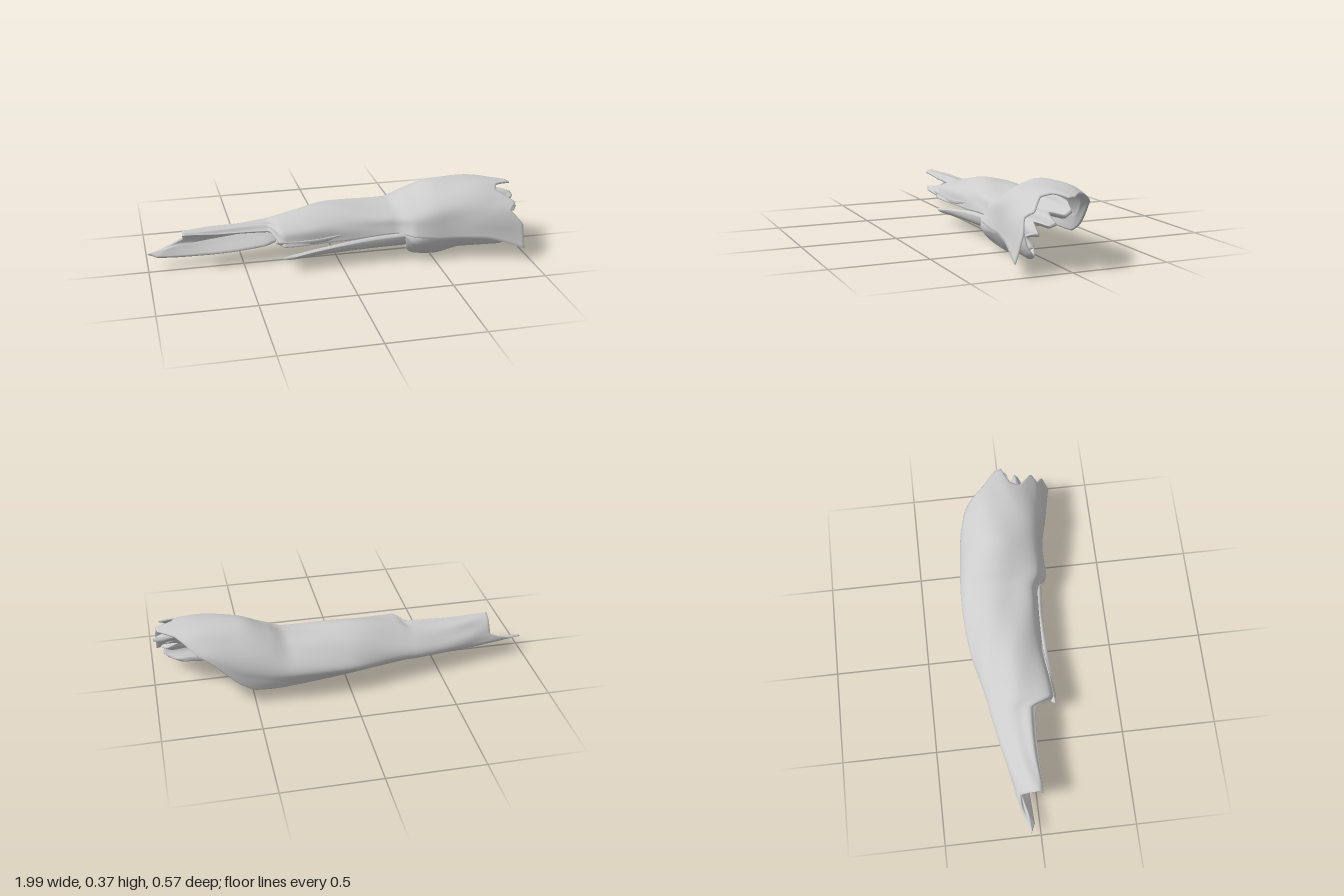
import * as THREE from 'three';

// Piecewise-linear table lookup over [t, value] pairs
function lookup(table, t) {
  for (let k = 1; k < table.length; k++) {
    const [t0, v0] = table[k - 1], [t1, v1] = table[k];
    if (t <= t1) return v0 + (v1 - v0) * (t - t0) / (t1 - t0);
  }
  return table[table.length - 1][1];
}

// Monotone cubic through one column of the sections, so steps do not overshoot
function column(sections, c, x) {
  const last = sections.length - 1;
  let k = 0;
  while (k < last - 1 && x > sections[k + 1][0]) k++;
  const slope = i => (sections[i + 1][c] - sections[i][c]) / (sections[i + 1][0] - sections[i][0]);
  const tangent = i => {
    if (i === 0) return slope(0);
    if (i === last) return slope(last - 1);
    const a = slope(i - 1), b = slope(i);
    return a * b <= 0 ? 0 : 2 * a * b / (a + b);
  };
  const h = sections[k + 1][0] - sections[k][0];
  const t = THREE.MathUtils.clamp((x - sections[k][0]) / h, 0, 1);
  const t2 = t * t, t3 = t2 * t;
  return (2 * t3 - 3 * t2 + 1) * sections[k][c] + (t3 - 2 * t2 + t) * h * tangent(k)
    + (3 * t2 - 2 * t3) * sections[k + 1][c] + (t3 - t2) * h * tangent(k + 1);
}

// Closed thick sheet lofted along x. Each section is [x, z, y, z, y, ...],
// running from the front edge over the top to the back edge.
// start and end give the ragged x limits across the sheet.
function shell(name, sections, { start, end, thickness = 0.02, ripple = 0.003, nx = 40, nu = 16 }) {
  const count = (sections[0].length - 1) / 2, row = nu + 1;
  const pos = [], uvx = [], index = [];
  for (let j = 0; j <= nx; j++) {
    for (let i = 0; i <= nu; i++) {
      const u = i / nu;
      const x = THREE.MathUtils.lerp(lookup(start, u), lookup(end, u), j / nx);
      const pts = [];
      for (let p = 0; p < count; p++) {
        pts.push(new THREE.Vector3(x, column(sections, 2 + 2 * p, x), column(sections, 1 + 2 * p, x)));
      }
      const v = new THREE.CatmullRomCurve3(pts).getPoint(u);
      pos.push(x, v.y, v.z);
      uvx.push([u, x]);
    }
  }
  for (let j = 0; j < nx; j++) {
    for (let i = 0; i < nu; i++) {
      const a = j * row + i, b = a + row;
      index.push(a, b, a + 1, b, b + 1, a + 1);
    }
  }
  const outer = new THREE.BufferGeometry();
  outer.setAttribute('position', new THREE.Float32BufferAttribute(pos, 3));
  outer.setIndex(index);
  outer.computeVertexNormals();
  const n = outer.attributes.normal.array, total = pos.length / 3;

  // Grain ripples outside, then the inner face offset inwards, thinner at the rim
  const inner = [];
  for (let k = 0; k < total; k++) {
    const [u, x] = uvx[k], i = k % row, j = Math.floor(k / row);
    const wave = ripple * (Math.sin(u * 24 + 3 * Math.sin(x * 4)) + 0.7 * Math.sin(x * 11 + u * 6));
    const edge = Math.min(i / nu, 1 - i / nu, 2 * j / nx, 2 - 2 * j / nx);
    const depth = thickness * (0.35 + 0.65 * Math.min(1, edge * 8));
    for (let c = 0; c < 3; c++) {
      inner.push(pos[3 * k + c] - n[3 * k + c] * depth);
      pos[3 * k + c] += n[3 * k + c] * wave * Math.min(1, edge * 8);
    }
  }
  const all = index.slice();
  for (let k = 0; k < index.length; k += 3) {
    all.push(index[k] + total, index[k + 2] + total, index[k + 1] + total);
  }
  // Rim joining both faces
  const loop = [];
  for (let j = 0; j < nx; j++) loop.push(j * row);
  for (let i = 0; i < nu; i++) loop.push(nx * row + i);
  for (let j = nx; j > 0; j--) loop.push(j * row + nu);
  for (let i = nu; i > 0; i--) loop.push(i);
  loop.forEach((p, k) => {
    const q = loop[(k + 1) % loop.length];
    all.push(q, p, p + total, q, p + total, q + total);
  });
  const geo = new THREE.BufferGeometry();
  geo.setAttribute('position', new THREE.Float32BufferAttribute(pos.concat(inner), 3));
  geo.setIndex(all);
  geo.computeVertexNormals();
  const mesh = new THREE.Mesh(geo, new THREE.MeshStandardMaterial({
    color: 0xcccccc, roughness: 0.9, side: THREE.DoubleSide,
  }));
  mesh.name = name;
  return mesh;
}

export function createModel() {
  const group = new THREE.Group();
  group.name = 'hollowLog';

  // Main curved bark shell with splintered ends
  group.add(shell('barkShell', [
    [-1.00, 0.03, 0.18, 0.01, 0.195, -0.02, 0.17, -0.05, 0.11, -0.06, 0.065, -0.03, 0.045],
    [-0.80, 0.03, 0.18, 0.01, 0.195, -0.04, 0.18, -0.085, 0.13, -0.105, 0.08, -0.04, 0.03],
    [-0.60, 0.03, 0.17, 0.00, 0.19, -0.06, 0.18, -0.12, 0.14, -0.15, 0.08, -0.05, 0.025],
    [-0.37, 0.045, 0.17, 0.01, 0.195, -0.06, 0.195, -0.15, 0.16, -0.19, 0.09, -0.08, 0.03],
    [-0.31, 0.16, 0.12, 0.12, 0.185, -0.03, 0.215, -0.15, 0.17, -0.20, 0.10, -0.11, 0.035],
    [0.00, 0.125, 0.11, 0.09, 0.20, -0.05, 0.255, -0.18, 0.22, -0.268, 0.12, -0.20, 0.045],
    [0.30, 0.135, 0.13, 0.10, 0.20, -0.04, 0.24, -0.19, 0.22, -0.283, 0.13, -0.255, 0.05],
    [0.40, 0.195, 0.12, 0.14, 0.21, -0.03, 0.28, -0.19, 0.255, -0.28, 0.14, -0.265, 0.05],
    [0.55, 0.195, 0.10, 0.15, 0.245, -0.01, 0.338, -0.17, 0.305, -0.263, 0.18, -0.265, 0.06],
    [0.75, 0.235, 0.10, 0.18, 0.265, 0.02, 0.348, -0.13, 0.33, -0.215, 0.255, -0.24, 0.12],
    [0.97, 0.28, 0.04, 0.20, 0.24, 0.04, 0.32, -0.07, 0.31, -0.15, 0.26, -0.20, 0.13],
  ], {
    start: [[0, -0.82], [0.64, -0.81], [0.72, -0.86], [0.88, -1], [1, -0.95]],
    end: [[0, 0.97], [0.12, 0.97], [0.18, 0.91], [0.24, 0.95], [0.32, 0.86], [0.38, 0.88],
      [0.45, 0.97], [0.52, 0.96], [0.6, 0.88], [0.7, 0.83], [0.8, 0.78], [0.9, 0.64], [1, 0.5]],
    thickness: 0.025, nx: 130, nu: 60,
  }));

  // Folded lip under the front edge of the wide end
  group.add(shell('lowerFrontLip', [
    [0.34, 0.15, 0.13, 0.145, 0.09, 0.11, 0.05, 0.08, 0.05],
    [0.42, 0.185, 0.12, 0.15, 0.06, 0.09, 0.015, 0.045, 0.02],
    [0.52, 0.175, 0.13, 0.14, 0.06, 0.09, 0.005, 0.04, 0.015],
    [0.66, 0.18, 0.15, 0.16, 0.09, 0.12, 0.045, 0.09, 0.06],
    [0.94, 0.20, 0.17, 0.19, 0.10, 0.15, 0.05, 0.12, 0.07],
  ], { start: [[0, 0.34], [1, 0.37]], end: [[0, 0.9], [0.5, 0.94], [1, 0.82]], thickness: 0.025 }));

  // Lumpy inner layer ending in broken fingers at the wide end
  group.add(shell('innerLayer', [
    [0.50, 0.165, 0.10, 0.155, 0.16, 0.12, 0.23, 0.06, 0.275, -0.02, 0.30],
    [0.75, 0.19, 0.08, 0.185, 0.15, 0.14, 0.225, 0.07, 0.265, -0.03, 0.30],
    [0.99, 0.19, 0.06, 0.18, 0.13, 0.12, 0.18, 0.06, 0.23, -0.03, 0.28],
  ], {
    start: [[0, 0.5], [1, 0.5]],
    end: [[0, 0.88], [0.12, 0.95], [0.24, 0.88], [0.38, 0.96], [0.48, 0.87], [0.56, 0.97],
      [0.66, 0.99], [0.74, 0.88], [0.82, 0.985], [0.92, 0.98], [1, 0.88]],
    thickness: 0.035, ripple: 0.006, nx: 50, nu: 48,
  }));

  // Long splinter along the front of the middle
  group.add(shell('lowerSplinter', [
    [-0.32, 0.15, 0.06, 0.145, 0.055, 0.13, 0.05],
    [-0.10, 0.135, 0.09, 0.13, 0.07, 0.10, 0.052],
    [0.15, 0.13, 0.12, 0.125, 0.08, 0.09, 0.058],
    [0.40, 0.15, 0.14, 0.14, 0.10, 0.10, 0.06],
  ], { start: [[0, -0.28], [0.5, -0.32], [1, -0.29]], end: [[0, 0.4], [1, 0.4]], thickness: 0.018 }));

  // Thick broken fold behind the front step
  group.add(shell('stepFold', [
    [-0.35, 0.15, 0.15, 0.11, 0.125, 0.06, 0.12, 0.02, 0.15],
    [-0.20, 0.14, 0.14, 0.11, 0.12, 0.06, 0.13, 0.01, 0.17],
    [0.05, 0.115, 0.14, 0.10, 0.16, 0.06, 0.19, 0.00, 0.22],
  ], { start: [[0, -0.35], [0.3, -0.32], [0.6, -0.34], [1, -0.3]], end: [[0, 0.05], [1, 0.05]], thickness: 0.02 }));

  return group;
}
